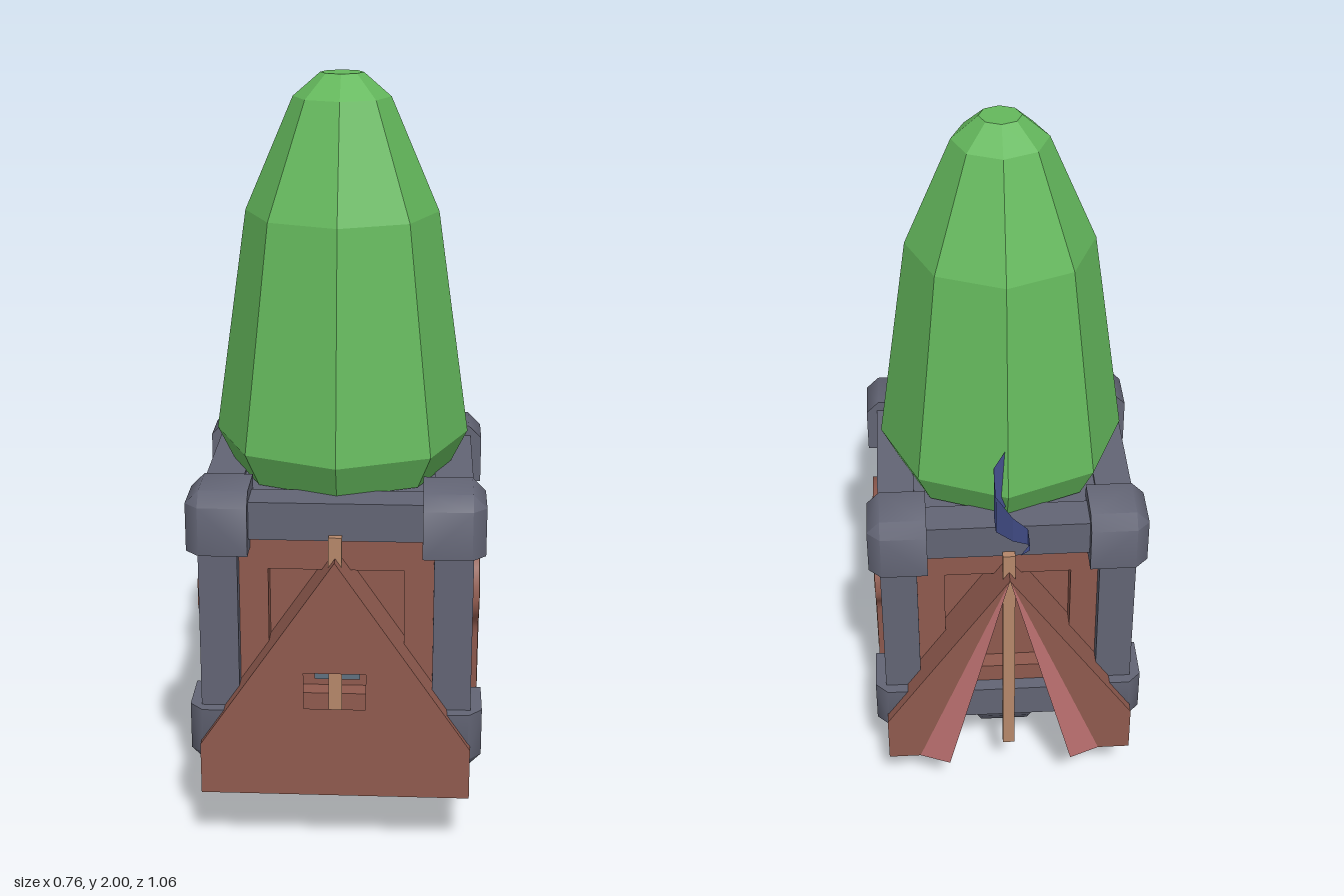
import * as THREE from 'three';
import { toCreasedNormals } from 'three/addons/utils/BufferGeometryUtils.js';
import { ConvexGeometry } from 'three/addons/geometries/ConvexGeometry.js';

const mat = (name, color, side = THREE.FrontSide) => {
  const m = new THREE.MeshStandardMaterial({ color, side });
  m.name = name;
  return m;
};

export function createModel() {
  const brown = mat('brown', 0x8f5a4e);
  const canvas = mat('tentBrown', 0x8f5a4e, THREE.DoubleSide);
  const grey = mat('grey', 0x626474);
  const green = mat('green', 0x64b85c);
  const tan = mat('tan', 0xb5876a);
  const pink = mat('pink', 0xb56c6c, THREE.DoubleSide);
  const blue = mat('blue', 0x4a5798, THREE.DoubleSide);
  const slate = mat('slate', 0x5f7080);

  const model = new THREE.Group();
  model.name = 'crateTower';
  const CZ = 0.13, CY = 0.625; // crate centre

  const add = (name, geometry, material, parent = model, x = 0, y = 0, z = 0) => {
    const mesh = new THREE.Mesh(geometry, material);
    mesh.name = name;
    mesh.position.set(x, y, z);
    parent.add(mesh);
    return mesh;
  };
  const box = (name, w, h, d, material, x, y, z, parent = model) =>
    add(name, new THREE.BoxGeometry(w, h, d), material, parent, x, y, z);
  // flat convex polygons, each a list of corners
  const polys = (...faces) => {
    const pos = [];
    for (const f of faces)
      for (let i = 1; i < f.length - 1; i++) pos.push(...f[0], ...f[i], ...f[i + 1]);
    const g = new THREE.BufferGeometry();
    g.setAttribute('position', new THREE.Float32BufferAttribute(pos, 3));
    g.computeVertexNormals();
    return g;
  };
  const lathe = (points, sides, crease) =>
    toCreasedNormals(new THREE.LatheGeometry(points.map(p => new THREE.Vector2(...p)), sides), crease);

  // Eight-sided tree
  add('treeTop', lathe([[0, 0.97], [0.29, 0.97], [0.335, 1.06], [0.25, 1.65],
    [0.125, 1.94], [0.055, 2], [0, 2]], 8, 0.02), green, model, 0, 0, CZ);

  // Wheel under the crate
  add('wheel', lathe([[0, -0.12], [0.18, -0.12], [0.23, -0.07], [0.23, 0.07],
    [0.18, 0.12], [0, 0.12]], 24, 0.9), grey, model, 0, 0.23, CZ).rotation.z = Math.PI / 2;

  // Crate frame: posts, beams and corner caps chamfered on their outer edges
  const crate = new THREE.Group();
  crate.name = 'crate';
  crate.position.set(0, CY, CZ);
  model.add(crate);
  const cap = (sx, sy, sz) => {
    const lo = [0.22, 0.215, 0.215], hi = [0.38, 0.378, 0.38], c = 0.035, pts = [];
    for (let full = 0; full < 3; full++)
      for (let k = 0; k < 8; k++) {
        const p = [0, 1, 2].map(a => (k >> a) & 1 ? hi[a] - (a === full ? 0 : c) : lo[a]);
        pts.push(new THREE.Vector3(p[0] * sx, p[1] * sy, p[2] * sz));
      }
    return toCreasedNormals(new ConvexGeometry(pts), 0.9);
  };
  for (const s of [-1, 1]) {
    for (const t of [-1, 1]) {
      box('post', 0.1, 0.7, 0.1, grey, s * 0.3, 0, t * 0.3, crate);
      box('crossBeam', 0.5, 0.1, 0.1, grey, 0, s * 0.3, t * 0.3, crate);
      box('sideBeam', 0.1, 0.1, 0.5, grey, s * 0.3, t * 0.3, 0, crate);
      for (const sy of [-1, 1]) add('cornerCap', cap(s, sy, t), grey, crate);
    }
  }
  box('crateLid', 0.5, 0.08, 0.5, grey, 0, 0.3, 0, crate);

  // Recessed core and framed panels
  const core = new THREE.BoxGeometry(0.52, 0.52, 0.52);
  add('crateCore', core, [slate, slate, slate, slate, brown, brown], crate);
  const frame = new THREE.Shape([[-0.26, -0.26], [0.26, -0.26], [0.26, 0.26], [-0.26, 0.26]]
    .map(p => new THREE.Vector2(...p)));
  frame.holes.push(new THREE.Path([[-0.175, -0.195], [-0.175, 0.155], [0.175, 0.155], [0.175, -0.195]]
    .map(p => new THREE.Vector2(...p))));
  const frameGeo = new THREE.ExtrudeGeometry(frame, { depth: 0.05, bevelEnabled: false });
  frameGeo.translate(0, 0, 0.26);
  for (let i = 0; i < 4; i++) add('panelFrame', frameGeo, brown, crate).rotation.y = i * Math.PI / 2;
  add('bottomFrame', frameGeo, brown, crate).rotation.x = Math.PI / 2;
  box('windowBacking', 0.12, 0.08, 0.008, slate, 0, 0.49, CZ + 0.264);

  // Bread slices on both sides
  const slice = (w, neck, head, bottom, shoulder, top, r) => {
    const s = new THREE.Shape();
    s.moveTo(-w + r, bottom);
    s.lineTo(w - r, bottom);
    s.quadraticCurveTo(w, bottom, w, bottom + r);
    s.lineTo(neck, shoulder - 0.1);
    s.bezierCurveTo(neck, shoulder - 0.05, head, shoulder - 0.04, head, shoulder + 0.01);
    s.bezierCurveTo(head, top - 0.04, head * 0.5, top, 0, top);
    s.bezierCurveTo(-head * 0.5, top, -head, top - 0.04, -head, shoulder + 0.01);
    s.bezierCurveTo(-head, shoulder - 0.04, -neck, shoulder - 0.05, -neck, shoulder - 0.1);
    s.lineTo(-w, bottom + r);
    s.quadraticCurveTo(-w, bottom, -w + r, bottom);
    return s;
  };
  const extrude = (shape, depth) => toCreasedNormals(
    new THREE.ExtrudeGeometry(shape, { depth, bevelEnabled: false, curveSegments: 6 }), 0.7);
  const crust = extrude(slice(0.18, 0.18, 0.23, 0.245, 0.65, 0.81, 0.04), 0.07);
  const crumb = extrude(slice(0.125, 0.14, 0.18, 0.345, 0.65, 0.765, 0.02), 0.004);
  for (const s of [-1, 1]) {
    const bread = new THREE.Group();
    bread.name = s > 0 ? 'leftBread' : 'rightBread';
    bread.position.set(s * 0.3, 0, CZ);
    bread.rotation.y = s * Math.PI / 2;
    model.add(bread);
    add('crust', crust, brown, bread);
    add('crumb', crumb, tan, bread, 0, 0, 0.069);
  }

  // Tent: front wall with window, side walls, roof and folded back flaps
  const ZF = 0.53, ZB = -0.28;
  const wall = new THREE.Shape([[-0.35, 0.18], [0.35, 0.18], [0.35, 0.32], [0, 0.835], [-0.35, 0.32]]
    .map(p => new THREE.Vector2(...p)));
  wall.holes.push(new THREE.Path([[-0.08, 0.43], [-0.08, 0.53], [0.08, 0.53], [0.08, 0.43]]
    .map(p => new THREE.Vector2(...p))));
  add('tentFront', new THREE.ShapeGeometry(wall), canvas, model, 0, 0, ZF);
  for (const s of [-1, 1]) {
    const x = s * 0.35, apex = [0, 0.835, ZB];
    const order = f => (s > 0 ? f : f.slice().reverse());
    add('tentSide', polys(
      order([[x, 0.18, ZF], [x, 0.18, ZB], [x, 0.32, ZB], [x, 0.32, ZF]]),
      order([[x, 0.32, ZF], [x, 0.32, ZB], apex, [0, 0.835, ZF]])), canvas);
    add('tentFlap', polys(
      order([apex, [x, 0.32, ZB], [x, 0.18, ZB], [s * 0.26, 0.18, ZB]])), canvas);
    add('flapLining', polys(
      order([apex, [s * 0.26, 0.18, ZB], [s * 0.175, 0.18, -0.315]])), pink);
  }
  for (const z of [0.487, -0.232]) box('tentPole', 0.034, 0.71, 0.022, tan, 0, 0.535, z);

  // Waving pennant: x, z, lower y, upper y along its length
  const wave = [[0, -0.17, 1.01, 1.2], [0.04, -0.23, 1.02, 1.18], [0.04, -0.32, 1.04, 1.155],
    [0, -0.385, 1.06, 1.135], [-0.035, -0.43, 1.085, 1.135], [-0.035, -0.49, 1.115, 1.135],
    [-0.01, -0.53, 1.134, 1.136]];
  const strips = wave.slice(1).map(([x, z, lo, hi], i) => {
    const [px, pz, plo, phi] = wave[i];
    return [[px, plo, pz], [x, lo, z], [x, hi, z], [px, phi, pz]];
  });
  add('pennant', polys(...strips), blue);

  return model;
}
